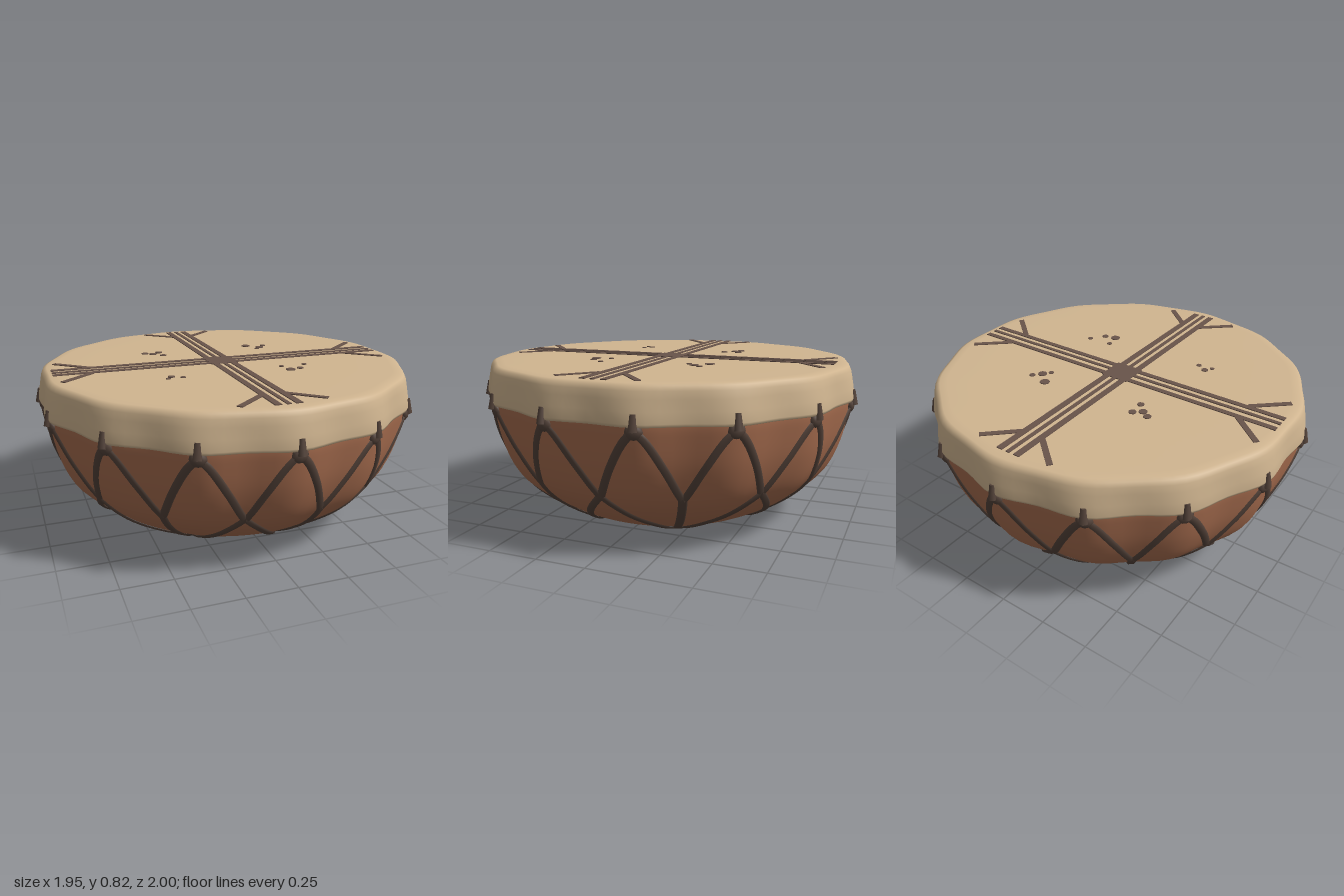
import * as THREE from 'three';
import { mergeVertices, mergeGeometries } from 'three/addons/utils/BufferGeometryUtils.js';

const KNOTS = 14;
const STEP = (Math.PI * 2) / KNOTS;
const V2 = (p) => new THREE.Vector2(p[0], p[1]);

// bowl profile from the bottom centre to the lip (radius, height)
const bowlPoints = [[0, 0.014], [0.2, 0.014], [0.42, 0.014], [0.52, 0.035], [0.66, 0.11],
  [0.78, 0.2], [0.86, 0.3], [0.915, 0.44], [0.945, 0.59], [0.95, 0.65]].map(V2);
const bowlCurve = new THREE.SplineCurve(bowlPoints);
const LAST = bowlPoints.length - 1;

// radius swells towards each lashing point
function swell(r, y, angle) {
  const k = THREE.MathUtils.smoothstep(r, 0.5, 0.95) * (1 - 0.55 * THREE.MathUtils.smoothstep(y, 0.66, 0.82));
  return r * (1 + 0.015 * k * Math.cos(KNOTS * angle));
}

// smooth turned surface with the swell applied
function turned(points) {
  let g = new THREE.LatheGeometry(points, KNOTS * 8);
  const p = g.attributes.position;
  for (let i = 0; i < p.count; i++) {
    const x = p.getX(i), y = p.getY(i), z = p.getZ(i);
    const r = Math.hypot(x, z), a = Math.atan2(x, z);
    const s = r > 1e-5 ? swell(r, y, a) / r : 1;
    p.setXYZ(i, x * s, y, z * s);
  }
  g.deleteAttribute('uv');
  g.deleteAttribute('normal');
  g = mergeVertices(g, 1e-4);
  g.computeVertexNormals();
  return g;
}

// point and outward normal on the bowl; level counts profile points
function onBowl(angle, level) {
  const t = THREE.MathUtils.clamp(level / LAST, 0, 1);
  const p = bowlCurve.getPoint(t), d = bowlCurve.getTangent(t);
  const r = swell(p.x, p.y, angle), s = Math.sin(angle), c = Math.cos(angle);
  return {
    point: new THREE.Vector3(r * s, p.y, r * c),
    normal: new THREE.Vector3(d.y * s, -d.x, d.y * c).normalize(),
  };
}

// ridged strap that lies on the bowl along (angle, level) stations
function strap(stations, width) {
  const path = new THREE.SplineCurve(stations.map(V2));
  const n = 20, pos = [], index = [];
  const at = (t) => { const q = path.getPoint(t); return onBowl(q.x, q.y); };
  for (let i = 0; i <= n; i++) {
    const t = i / n, { point, normal } = at(t);
    const dir = at(Math.min(1, t + 0.02)).point.sub(at(Math.max(0, t - 0.02)).point);
    const side = normal.clone().cross(dir).normalize();
    for (const [across, lift] of [[-0.5, 0.002], [-0.3, 0.011], [0.3, 0.011], [0.5, 0.002]]) {
      const v = point.clone().addScaledVector(side, across * width).addScaledVector(normal, lift);
      pos.push(v.x, v.y, v.z);
    }
    if (i < n) for (let j = 0; j < 3; j++) {
      const a = i * 4 + j;
      index.push(a, a + 4, a + 1, a + 1, a + 4, a + 5);
    }
  }
  const g = new THREE.BufferGeometry();
  g.setAttribute('position', new THREE.Float32BufferAttribute(pos, 3));
  g.setIndex(index);
  g.computeVertexNormals();
  return g;
}

export function createModel() {
  const mat = (name, color, side = THREE.FrontSide) =>
    Object.assign(new THREE.MeshStandardMaterial({ color, side }), { name });
  const clay = mat('clay brown', 0xa76d4f);
  const hide = mat('pale hide', 0xd0b590, THREE.DoubleSide);
  const cord = mat('dark cord', 0x54433a, THREE.DoubleSide);
  const paint = mat('brown paint', 0x69544a);

  const drum = new THREE.Group();
  drum.name = 'drum';
  const add = (name, geometry, material, parent = drum) => {
    const m = new THREE.Mesh(geometry, material);
    m.name = name;
    parent.add(m);
    return m;
  };

  // bowl
  add('bowl', turned(bowlCurve.getPoints(45)), clay);

  // stretched hide with a rounded rim
  add('drumSkin', turned([[0.945, 0.64], [0.962, 0.636], [0.967, 0.65], [0.961, 0.7], [0.954, 0.75],
    [0.948, 0.785], [0.938, 0.806], [0.92, 0.814], [0.88, 0.816], [0.5, 0.816], [0, 0.816]].map(V2)), hide);

  // lacing: each knot sends two cords down; they cross, then gather underneath
  const straps = [];
  for (let i = 0; i < KNOTS; i++) {
    const knot = i * STEP, mid = knot + STEP / 2;
    for (const s of [-1, 1]) {
      straps.push(strap([[knot, 8.3], [knot + s * STEP * 0.27, 7.1], [knot + s * STEP / 2, 5.8]], 0.038));
    }
    if (i % 2 === 0) {
      straps.push(strap([[mid, 5.85], [mid, 4.2], [mid, 2.6], [mid, 0]], 0.042));
    } else {
      for (const s of [-1, 1]) {
        straps.push(strap([[mid, 5.85], [mid + s * STEP * 0.4, 4.4], [mid + s * STEP, 2.5]], 0.036));
      }
    }
  }
  add('lacing', mergeGeometries(straps), cord);

  // knots with a short upright loop over the hide
  for (let i = 0; i < KNOTS; i++) {
    const knot = new THREE.Group();
    knot.name = 'knot';
    knot.rotation.y = i * STEP;
    const lump = add('knotLump', new THREE.SphereGeometry(0.04, 8, 6), cord, knot);
    lump.position.set(0, 0.615, 0.963);
    lump.scale.set(1, 0.9, 0.55);
    const loop = add('knotLoop', new THREE.CylinderGeometry(0.014, 0.022, 0.075, 6), cord, knot);
    loop.position.set(0, 0.655, 0.975);
    loop.rotation.x = -0.12;
    drum.add(knot);
  }

  // painted marks on the hide
  const marks = new THREE.Group();
  marks.name = 'paintedMarks';
  drum.add(marks);
  const line = (name, x1, z1, x2, z2, width) => {
    const m = add(name, new THREE.BoxGeometry(Math.hypot(x2 - x1, z2 - z1), 0.006, width), paint, marks);
    m.position.set((x1 + x2) / 2, 0.817, (z1 + z2) / 2);
    m.rotation.y = -Math.atan2(z2 - z1, x2 - x1);
  };
  for (const [c, w] of [[-0.067, 0.032], [-0.018, 0.02], [0.03, 0.032]]) line('longStripe', c, -0.88, c, 0.88, w);
  for (const [c, w] of [[-0.053, 0.028], [0, 0.02], [0.049, 0.028]]) line('crossStripe', -0.9, c, 0.89, c, w);
  line('centreSquare', -0.09, 0, 0.06, 0, 0.15);
  for (const s of [-1, 1]) {
    line('branch', -0.075, s * 0.715, -0.23, s * 0.85, 0.028);
    line('branch', 0.035, s * 0.715, 0.18, s * 0.85, 0.028);
    line('branch', -0.71, s * 0.06, -0.87, s * 0.2, 0.028);
    line('branch', 0.7, s * 0.06, 0.86, s * 0.2, 0.028);
  }
  const spots = [[-0.36, -0.295, 0.02], [-0.32, -0.27, 0.022], [-0.28, -0.3, 0.02], [-0.275, -0.22, 0.018],
    [0.25, -0.31, 0.026], [0.315, -0.25, 0.024], [0.35, -0.29, 0.016], [0.285, -0.215, 0.014],
    [0.25, 0.32, 0.026], [0.31, 0.305, 0.018], [0.365, 0.235, 0.014], [0.235, 0.24, 0.014],
    [-0.36, 0.265, 0.018], [-0.385, 0.3, 0.012], [-0.31, 0.295, 0.014]];
  for (const [x, z, r] of spots) {
    add('spot', new THREE.CylinderGeometry(r, r, 0.006, 8), paint, marks).position.set(x, 0.817, z);
  }
  return drum;
}
